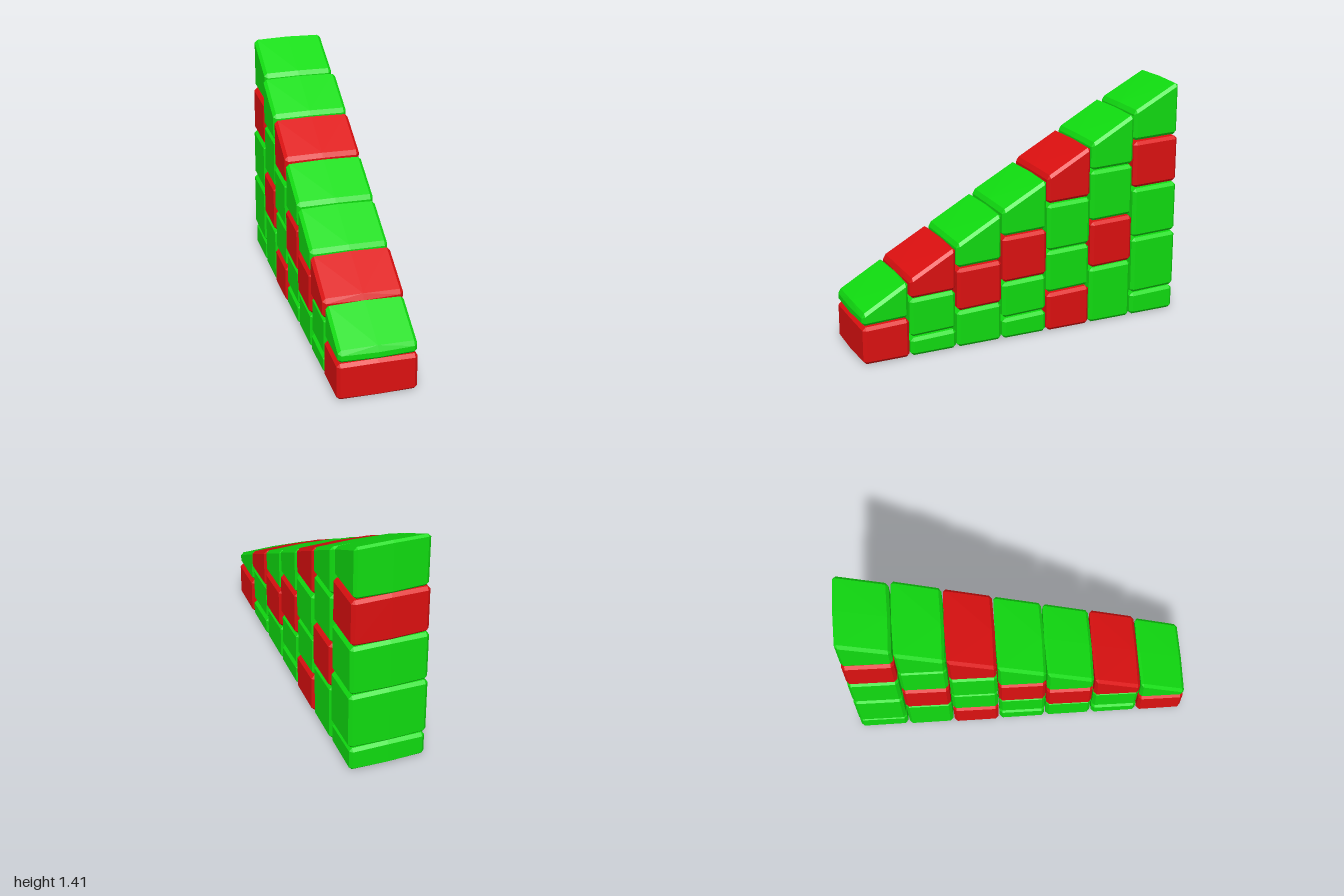
import * as THREE from 'three';
import { ConvexGeometry } from 'three/addons/geometries/ConvexGeometry.js';

const green = new THREE.MeshStandardMaterial({ color: 0x10dc10 });
green.name = 'green stone';
const red = new THREE.MeshStandardMaterial({ color: 0xdc1010 });
red.name = 'red stone';

const BEVEL = 0.018;
const BULGE = 0.004;

// Bevelled stone spanning the wall: a four-cornered (z, y) outline, swept along x
function stoneGeometry(corners, halfWidth) {
  const quad = corners.map(([z, y]) => new THREE.Vector2(z, y));
  const centre = quad.reduce((s, p) => s.add(p), new THREE.Vector2()).multiplyScalar(0.25);
  const points = [];
  const add = (p, x) => points.push(new THREE.Vector3(x, p.y, p.x));
  quad.forEach((p, i) => {
    const toPrev = quad[(i + 3) % 4].clone().sub(p).setLength(BEVEL);
    const toNext = quad[(i + 1) % 4].clone().sub(p).setLength(BEVEL);
    const inset = p.clone().add(toPrev).add(toNext);
    for (const side of [-1, 1]) {
      add(inset, side * halfWidth);
      for (const d of [toPrev, toNext]) add(p.clone().add(d), side * (halfWidth - BEVEL));
    }
    // slightly swollen middle section, kept flat on the ground
    for (const d of [toPrev, toNext]) {
      const m = p.clone().add(d);
      m.x += Math.sign(m.x - centre.x) * BULGE;
      m.y = Math.max(0, m.y + Math.sign(m.y - centre.y) * BULGE);
      add(m, 0);
    }
  });
  return new ConvexGeometry(points);
}

// Columns from the low front to the tall back.
// joints: heights between stones; top: sloped cap height at front and back; colours: bottom to top
const columns = [
  { z: [0.996, 0.722], joints: [0.23], top: [0.295, 0.452], colours: 'rg', w: [0.228, 0.222] },
  { z: [0.714, 0.438], joints: [0.115, 0.35], top: [0.46, 0.612], colours: 'ggr', w: [0.226, 0.222, 0.23] },
  { z: [0.429, 0.154], joints: [0.227, 0.487], top: [0.62, 0.772], colours: 'grg', w: [0.224, 0.232, 0.226] },
  { z: [0.146, -0.131], joints: [0.13, 0.352, 0.632], top: [0.782, 0.932], colours: 'ggrg', w: [0.226, 0.224, 0.23, 0.226] },
  { z: [-0.138, -0.412], joints: [0.24, 0.5, 0.787], top: [0.945, 1.095], colours: 'rggr', w: [0.23, 0.224, 0.228, 0.225] },
  { z: [-0.42, -0.692], joints: [0.352, 0.64, 0.95], top: [1.105, 1.255], colours: 'grgg', w: [0.225, 0.23, 0.223, 0.225] },
  { z: [-0.702, -0.992], joints: [0.145, 0.497, 0.805, 1.09], top: [1.262, 1.412], colours: 'gggrg', w: [0.222, 0.228, 0.224, 0.22, 0.21] },
];

export function createModel() {
  const model = new THREE.Group();
  model.name = 'slopedWall';
  const gap = 0.004;  // half of the joint between stones
  const tilt = 0.005; // joints rise a little toward the back

  columns.forEach(({ z: [front, back], joints, top, colours, w }, c) => {
    const column = new THREE.Group();
    column.name = `stoneColumn${c + 1}`;
    [...colours].forEach((colour, i) => {
      const last = i === colours.length - 1;
      const low = i === 0 ? [0, 0] : [joints[i - 1] - tilt + gap, joints[i - 1] + tilt + gap];
      const high = last ? top : [joints[i] - tilt - gap, joints[i] + tilt - gap];
      const outline = [[front, low[0]], [back, low[1]], [back, high[1]], [front, high[0]]];
      const stone = new THREE.Mesh(stoneGeometry(outline, w[i]), colour === 'r' ? red : green);
      stone.name = last ? 'slopedCapStone' : 'wallStone';
      column.add(stone);
    });
    model.add(column);
  });
  return model;
}
